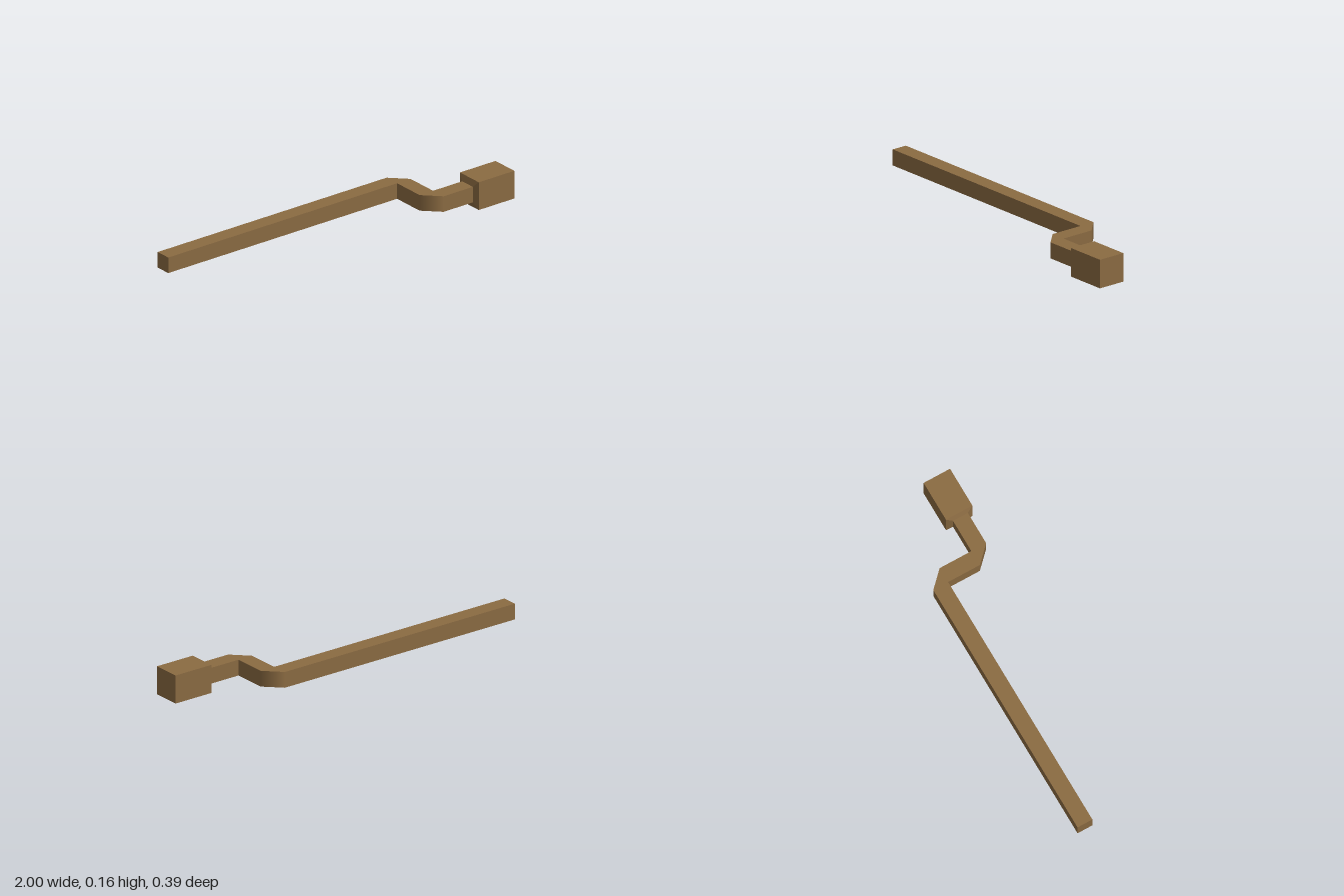
import * as THREE from 'three';

const ROD = 0.087;   // thickness of the square rod
const GRIP = 0.155;  // thickness of the square end block
const MID_Y = GRIP / 2;
const GRIP_Z = 0.1195;

// Cranked rod: plan outline (x, z) extruded upwards
function rodGeometry() {
  const back = -0.197, front = GRIP_Z + ROD / 2;
  const x0 = 0.482, x1 = x0 + ROD;
  const outline = [
    [-1, back], [x0, back], [x1, back + ROD], [x1, front - ROD], [0.76, front - ROD],
    [0.76, front], [x1, front], [x0, front - ROD], [x0, back + ROD], [-1, back + ROD],
  ];
  const shape = new THREE.Shape(outline.map(([x, z]) => new THREE.Vector2(x, -z)));
  const geo = new THREE.ExtrudeGeometry(shape, { depth: ROD, bevelEnabled: false });
  geo.rotateX(-Math.PI / 2).translate(0, MID_Y - ROD / 2, 0);

  // Round the shading across the two cut corners
  const p = geo.attributes.position, n = geo.attributes.normal;
  for (let i = 0; i < p.count; i++) {
    if (Math.abs(n.getX(i)) < 0.5 || Math.abs(n.getZ(i)) < 0.5) continue;
    const nearX0 = Math.abs(p.getX(i) - x0) < 0.01;
    const rear = n.getZ(i) < 0;
    if (rear) n.setXYZ(i, nearX0 ? 0 : 1, 0, nearX0 ? -1 : 0);
    else n.setXYZ(i, nearX0 ? -1 : 0, 0, nearX0 ? 0 : 1);
  }
  return geo;
}

// Short square taper from the rod up to the end block
function collarGeometry(length) {
  const geo = new THREE.BoxGeometry(length, GRIP, GRIP);
  const p = geo.attributes.position;
  for (let i = 0; i < p.count; i++) {
    if (p.getX(i) > 0) continue;
    p.setY(i, p.getY(i) * ROD / GRIP);
    p.setZ(i, p.getZ(i) * ROD / GRIP);
  }
  geo.computeVertexNormals();
  return geo;
}

export function createModel() {
  const group = new THREE.Group();
  group.name = 'crankedLever';
  const wood = new THREE.MeshStandardMaterial({ color: 0x8b6b42 });
  wood.name = 'brown';

  const add = (name, geo, x = 0, y = 0, z = 0) => {
    const mesh = new THREE.Mesh(geo, wood);
    mesh.name = name;
    mesh.position.set(x, y, z);
    group.add(mesh);
  };

  add('crankedRod', rodGeometry());
  add('collar', collarGeometry(0.012), 0.764, MID_Y, GRIP_Z);
  add('endBlock', new THREE.BoxGeometry(0.23, GRIP, GRIP), 0.885, MID_Y, GRIP_Z);
  return group;
}
